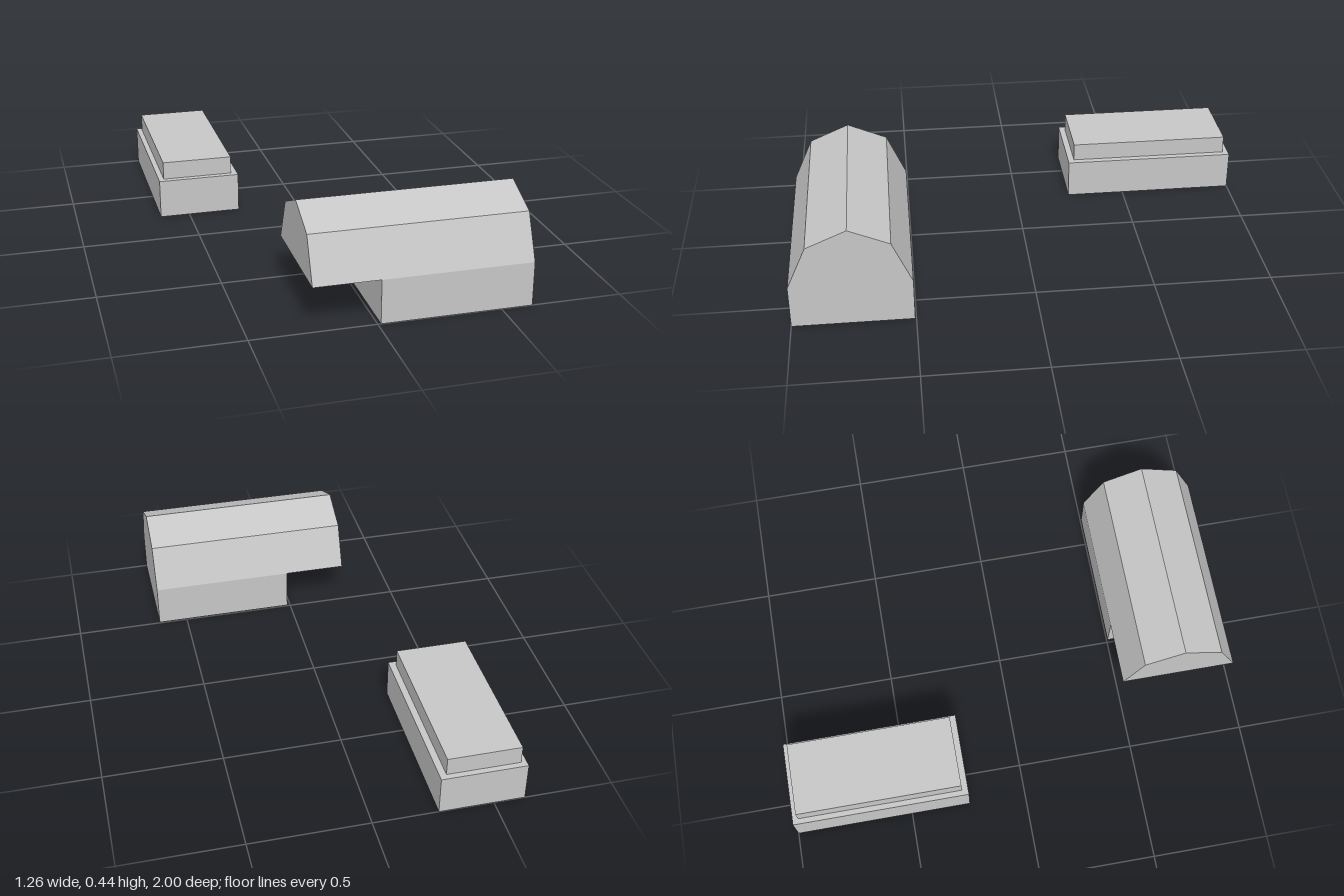
import * as THREE from 'three';

export function createModel() {
  const model = new THREE.Group();
  model.name = 'buildings';
  const gray = new THREE.MeshStandardMaterial({ color: 0xc6c6c6, side: THREE.DoubleSide });
  gray.name = 'plainGray';

  const add = (parent, name, geometry) => {
    const mesh = new THREE.Mesh(geometry, gray);
    mesh.name = name;
    parent.add(mesh);
    return mesh;
  };

  // Flat convex polygon, fanned from its first corner
  const panel = (parent, name, corners) => {
    const pos = [];
    for (let i = 1; i < corners.length - 1; i++) pos.push(...corners[0], ...corners[i], ...corners[i + 1]);
    const g = new THREE.BufferGeometry();
    g.setAttribute('position', new THREE.Float32BufferAttribute(pos, 3));
    g.computeVertexNormals();
    return add(parent, name, g);
  };

  // Box without its underside
  const openBox = (parent, name, x0, x1, y0, y1, z0, z1) => {
    const g = new THREE.BoxGeometry(x1 - x0, y1 - y0, z1 - z0);
    const index = Array.from(g.index.array);
    index.splice(18, 6);
    g.setIndex(index);
    g.clearGroups();
    g.translate((x0 + x1) / 2, (y0 + y1) / 2, (z0 + z1) / 2);
    return add(parent, name, g);
  };

  // Low flat-topped building
  const annex = new THREE.Group();
  annex.name = 'flatBuilding';
  model.add(annex);
  openBox(annex, 'annexWalls', -0.63, -0.272, 0, 0.17, -1, -0.245);
  openBox(annex, 'annexRoofBlock', -0.607, -0.3, 0.17, 0.248, -0.975, -0.272);

  // Barn with a four-slope roof that overhangs on one end
  const barn = new THREE.Group();
  barn.name = 'barn';
  model.add(barn);
  const xOver = -0.255, xBase = 0.013, xEnd = 0.628;
  const zBack = 0.505, zFront = 1, eave = 0.183;
  // Roof section as [z, y], back to front
  const section = [[zBack, eave], [0.585, 0.363], [0.752, 0.435], [0.919, 0.363], [zFront, eave]];
  const at = (x) => ([z, y]) => [x, y, z];

  const slopeNames = ['backLowerSlope', 'backUpperSlope', 'frontUpperSlope', 'frontLowerSlope'];
  slopeNames.forEach((name, i) => {
    const a = section[i], b = section[i + 1];
    panel(barn, name, [at(xOver)(a), at(xOver)(b), at(xEnd)(b), at(xEnd)(a)]);
  });

  // Gable ends: full height on one side, roof only over the overhang
  panel(barn, 'tallGable', [[zBack, 0], ...section, [zFront, 0]].map(at(xEnd)));
  panel(barn, 'overhangGable', section.map(at(xOver)).reverse());
  panel(barn, 'overhangUnderside', [
    [xOver, eave, zBack], [xBase, eave, zBack], [xBase, eave, zFront], [xOver, eave, zFront],
  ]);

  // Base walls
  panel(barn, 'frontWall', [[xBase, 0, zFront], [xEnd, 0, zFront], [xEnd, eave, zFront], [xBase, eave, zFront]]);
  panel(barn, 'backWall', [[xEnd, 0, zBack], [xBase, 0, zBack], [xBase, eave, zBack], [xEnd, eave, zBack]]);
  panel(barn, 'sideWall', [[xBase, 0, zBack], [xBase, 0, zFront], [xBase, eave, zFront], [xBase, eave, zBack]]);

  return model;
}
